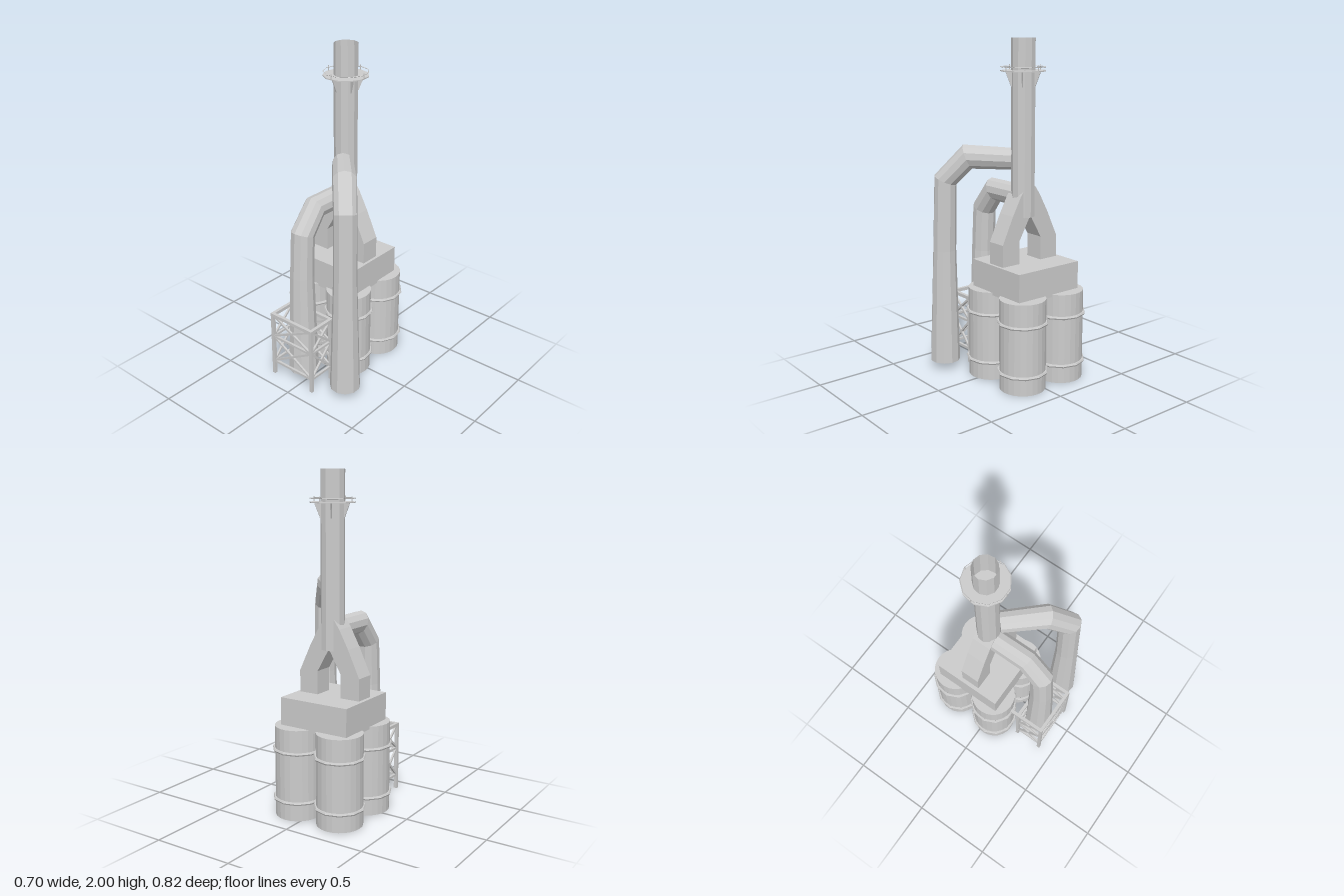
import * as THREE from 'three';

const mat = new THREE.MeshStandardMaterial({ color: 0xcccccc, flatShading: true });
const thin = new THREE.MeshStandardMaterial({ color: 0xcccccc, flatShading: true, side: THREE.DoubleSide });

function add(parent, name, geometry, x = 0, y = 0, z = 0, material = mat) {
  const mesh = new THREE.Mesh(geometry, material);
  mesh.name = name;
  mesh.position.set(x, y, z);
  parent.add(mesh);
  return mesh;
}

// Square bar between two points
function bar(parent, name, a, b, width) {
  const from = new THREE.Vector3(...a), to = new THREE.Vector3(...b);
  const mesh = add(parent, name, new THREE.BoxGeometry(width, width, from.distanceTo(to)));
  mesh.position.copy(from).add(to).multiplyScalar(0.5);
  mesh.lookAt(to);
}

// Ring lying flat, with a corner towards the back
function flatRing(radius, tube, tubeSides) {
  return new THREE.TorusGeometry(radius, tube, tubeSides, 11).rotateX(Math.PI / 2).rotateY(Math.PI / 2);
}

// Mitred duct along a path of [z, y, radius] in the z-y plane
function duct(path, sides = 11) {
  const pos = [], index = [];
  const dir = (a, b) => new THREE.Vector2(b[0] - a[0], b[1] - a[1]).normalize();
  path.forEach(([z, y, r], i) => {
    const before = dir(path[Math.max(i - 1, 0)], path[Math.max(i, 1)]);
    const after = i < path.length - 1 ? dir(path[i], path[i + 1]) : before;
    const t = before.clone().add(after).normalize();
    const k = r / t.dot(before);
    for (let j = 0; j < sides; j++) {
      const a = Math.PI / 2 + (j / sides) * Math.PI * 2;
      pos.push(r * Math.cos(a), y + k * Math.sin(a) * t.x, z - k * Math.sin(a) * t.y);
    }
  });
  const last = (path.length - 1) * sides;
  for (let j = 0; j < sides; j++) {
    const n = (j + 1) % sides;
    for (let b = 0; b < last; b += sides) {
      index.push(b + j, b + n, b + sides + n, b + j, b + sides + n, b + sides + j);
    }
    if (j > 0 && n > 0) index.push(0, n, j, last, last + j, last + n);
  }
  const geometry = new THREE.BufferGeometry();
  geometry.setAttribute('position', new THREE.Float32BufferAttribute(pos, 3));
  geometry.setIndex(index);
  geometry.computeVertexNormals();
  return geometry;
}

export function createModel() {
  const model = new THREE.Group();
  model.name = 'dustCollector';

  // Four banded tanks
  for (const x of [-0.205, 0.085]) {
    for (const z of [-0.262, 0.032]) {
      const tank = new THREE.Group();
      tank.name = 'tank';
      tank.position.set(x, 0, z);
      add(tank, 'tankBody', new THREE.CylinderGeometry(0.136, 0.136, 0.545, 24), 0, 0.2725, 0);
      for (const y of [0.107, 0.405]) add(tank, 'tankBand', flatRing(0.142, 0.01, 6), 0, y, 0);
      model.add(tank);
    }
  }

  // Plenum box above the tanks
  add(model, 'plenum', new THREE.BoxGeometry(0.45, 0.18, 0.43), -0.063, 0.62, -0.108);

  // Forked duct from plenum to stack
  const half = [[0.205, 0.69], [0.205, 0.84], [0.13, 1.0], [0.07, 1.11], [0.035, 1.16]];
  const inner = [[-0.08, 0.69], [-0.08, 0.85], [0, 0.99], [0.08, 0.85], [0.08, 0.69]];
  const outline = [...half, ...half.map(([x, y]) => [-x, y]).reverse(), ...inner];
  const fork = new THREE.Shape(outline.map(([x, y]) => new THREE.Vector2(x, y)));
  add(model, 'forkedDuct', new THREE.ExtrudeGeometry(fork, { depth: 0.12, bevelEnabled: false }), -0.06, 0, -0.155);

  // Chimney stack with service platform
  const stack = new THREE.Group();
  stack.name = 'stack';
  stack.position.set(-0.05, 0, -0.1);
  add(stack, 'stackTube', new THREE.CylinderGeometry(0.07, 0.07, 1.02, 11, 1, true, Math.PI), 0, 1.49, 0, thin);
  add(stack, 'platform', new THREE.CylinderGeometry(0.132, 0.132, 0.006, 11, 1, false, Math.PI), 0, 1.818, 0);
  add(stack, 'platformRail', flatRing(0.13, 0.0025, 4), 0, 1.84, 0);
  for (let i = 0; i < 4; i++) {
    const a = (i * Math.PI) / 2;
    add(stack, 'railPost', new THREE.BoxGeometry(0.004, 0.035, 0.004),
      0.128 * Math.cos(a), 1.833, 0.128 * Math.sin(a));
  }
  const gusset = new THREE.Shape([[0.06, 1.815], [0.065, 1.73], [0.072, 1.73], [0.105, 1.815]]
    .map(([x, y]) => new THREE.Vector2(x, y)));
  for (let i = 0; i < 5; i++) {
    const bracket = add(stack, 'platformBracket',
      new THREE.ExtrudeGeometry(gusset, { depth: 0.006, bevelEnabled: false }).translate(0, 0, -0.003));
    bracket.rotation.y = Math.PI / 4 + (i * Math.PI * 2) / 5;
  }
  model.add(stack);

  // Two downcomer ducts
  add(model, 'frontDuct', duct([
    [0, 1.097, 0.067], [0.27, 1.097, 0.067], [0.378, 0.965, 0.07], [0.392, 0.7, 0.072], [0.393, 0.05, 0.092],
  ]), -0.055, 0, -0.1);
  const side = add(model, 'sideDuct', duct([
    [0, 1.312, 0.064], [0.264, 1.318, 0.07], [0.402, 1.175, 0.067], [0.414, 0.75, 0.07], [0.42, 0.05, 0.091],
  ]), -0.02, 0, -0.04);
  side.rotation.y = 0.727;

  // Braced support frame around the front duct
  const frame = new THREE.Group();
  frame.name = 'supportFrame';
  const corners = [[-0.2, 0.225], [0.105, 0.225], [0.105, 0.4], [-0.2, 0.4]];
  const levels = [0.09, 0.27, 0.422];
  corners.forEach(([x, z], i) => {
    const [x2, z2] = corners[(i + 1) % 4];
    add(frame, 'frameLeg', new THREE.BoxGeometry(0.02, 0.432, 0.02), x, 0.216, z);
    levels.forEach((y, l) => {
      bar(frame, 'frameRail', [x, y, z], [x2, y, z2], l === 2 ? 0.02 : 0.014);
      if (l === 2) return;
      bar(frame, 'frameBrace', [x, y, z], [x2, levels[l + 1], z2], 0.012);
      bar(frame, 'frameBrace', [x2, y, z2], [x, levels[l + 1], z], 0.012);
    });
  });
  bar(frame, 'frameTie', [-0.2, 0.422, 0.14], [-0.2, 0.422, 0.23], 0.02);
  model.add(frame);

  return model;
}
